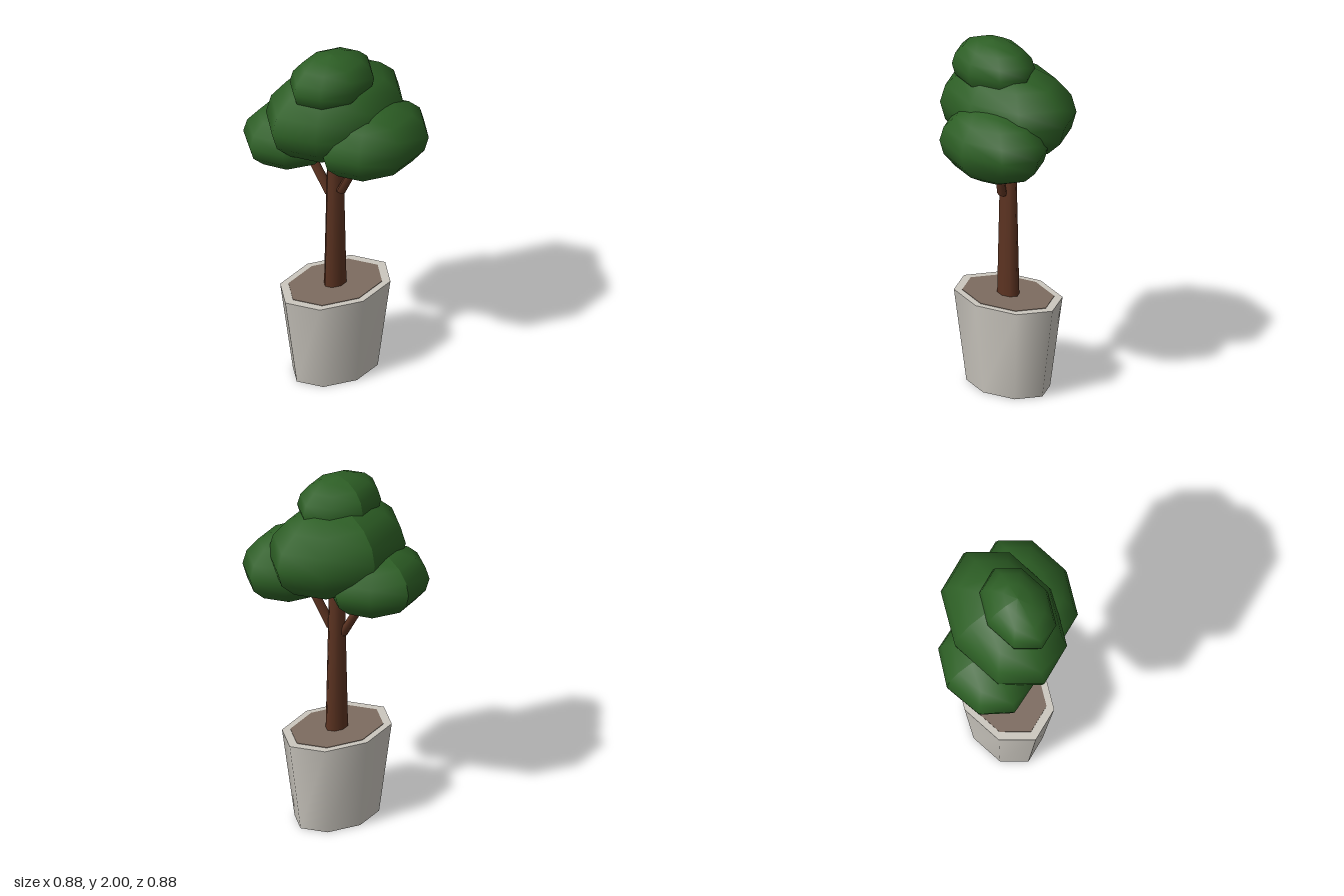
import * as THREE from 'three';

const mat = (name, color) => {
  const m = new THREE.MeshStandardMaterial({ color });
  m.name = name;
  return m;
};

export function createModel() {
  const tree = new THREE.Group();
  tree.name = 'pottedTree';
  const leaf = mat('leafGreen', 0x2d5f25);
  const bark = mat('barkBrown', 0x5c3321);
  const stone = mat('stoneGrey', 0xcbc7bf);
  const earth = mat('soilBrown', 0x7d6c60);

  const SQUASH = 0.715; // everything is narrower in x than in z
  const CX = -0.01; // trunk and pot axis

  const add = (name, geometry, material) => {
    geometry.computeVertexNormals();
    const mesh = new THREE.Mesh(geometry, material);
    mesh.name = name;
    tree.add(mesh);
    return mesh;
  };

  // Eight-sided tapered upright part, from y0 to y1
  const upright = (name, rTop, rBottom, y0, y1, material) => {
    const g = new THREE.CylinderGeometry(rTop, rBottom, y1 - y0, 8);
    g.scale(SQUASH, 1, 1).translate(CX, (y0 + y1) / 2, 0);
    return add(name, g, material);
  };

  // Pot, soil and trunk
  upright('pot', 0.34, 0.262, 0, 0.522, stone);
  upright('soil', 0.288, 0.288, 0.519, 0.525, earth);
  upright('trunk', 0.046, 0.07, 0.5, 1.48, bark);

  // Branches reaching into the side clumps
  const branch = (name, from, to) => {
    const a = new THREE.Vector3(...from);
    const d = new THREE.Vector3(...to).sub(a);
    const g = new THREE.CylinderGeometry(0.026, 0.03, d.length(), 8);
    g.scale(SQUASH, 1, 1).translate(0, d.length() / 2, 0);
    g.applyQuaternion(new THREE.Quaternion().setFromUnitVectors(
      new THREE.Vector3(0, 1, 0), d.normalize()));
    g.translate(...from);
    add(name, g, bark);
  };
  branch('leftBranch', [0.038, 1.12, 0], [0.15, 1.42, -0.09]);
  branch('rightBranch', [-0.035, 1.09, 0.02], [-0.205, 1.44, 0.11]);

  // Leaf clumps: centre and radii
  const clump = (name, centre, radii) => {
    const g = new THREE.SphereGeometry(1, 8, 8);
    g.scale(...radii).translate(...centre);
    add(name, g, leaf);
  };
  clump('mainFoliage', [-0.01, 1.61, 0], [0.303, 0.257, 0.43]);
  clump('topFoliage', [0.04, 1.842, 0.062], [0.187, 0.158, 0.26]);
  clump('leftFoliage', [0.195, 1.485, -0.1], [0.243, 0.205, 0.34]);
  clump('rightFoliage', [-0.195, 1.435, 0.13], [0.244, 0.182, 0.305]);

  return tree;
}
